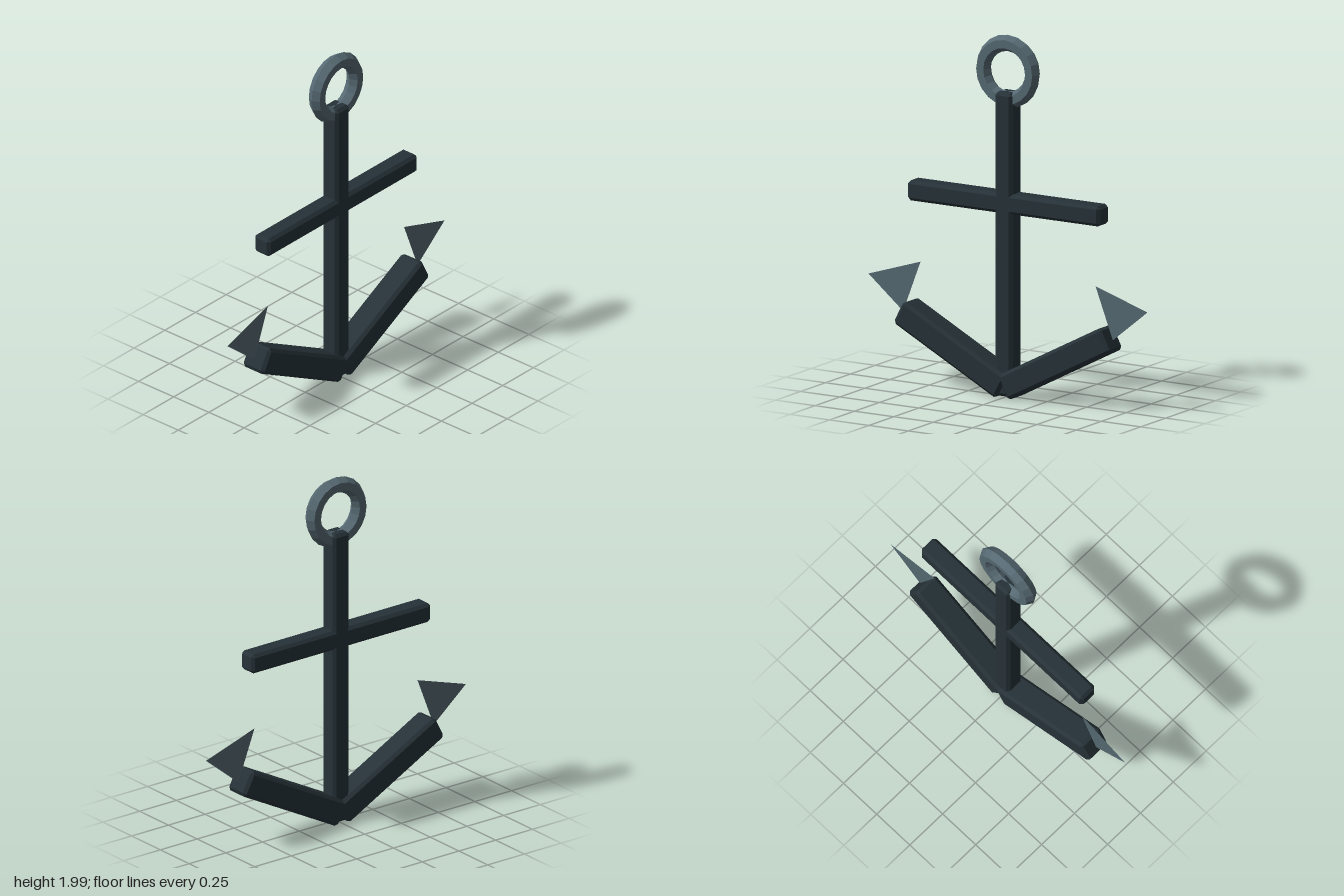
import * as THREE from 'three';
import { ConvexGeometry } from 'three/addons/geometries/ConvexGeometry.js';

const iron = new THREE.MeshStandardMaterial({ color: 0x263238, flatShading: true });
const steel = new THREE.MeshStandardMaterial({ color: 0x566972, flatShading: true, side: THREE.DoubleSide });

// Box with every edge cut by a chamfer c
function chamferBox(w, h, d, c = 0.017) {
  const points = [];
  for (const sx of [-1, 1]) for (const sy of [-1, 1]) for (const sz of [-1, 1]) {
    const x = w / 2, y = h / 2, z = d / 2;
    points.push(
      new THREE.Vector3(sx * x, sy * (y - c), sz * (z - c)),
      new THREE.Vector3(sx * (x - c), sy * y, sz * (z - c)),
      new THREE.Vector3(sx * (x - c), sy * (y - c), sz * z)
    );
  }
  return new ConvexGeometry(points);
}

export function createModel() {
  const anchor = new THREE.Group();
  anchor.name = 'anchor';

  function add(name, geometry, material, x, y, angle = 0) {
    const mesh = new THREE.Mesh(geometry, material);
    mesh.name = name;
    mesh.position.set(x, y, 0);
    mesh.rotation.z = angle;
    anchor.add(mesh);
  }

  // Upright bar, crossbar and the ring at the top
  add('shank', chamferBox(0.11, 1.67, 0.11), iron, 0, 0.855);
  add('stock', chamferBox(1.22, 0.11, 0.11), iron, 0, 1.08);
  add('ring', new THREE.TorusGeometry(0.155, 0.045, 6, 20), steel, 0, 1.8);

  // Sloping arms with a flat, thin fluke at each tip
  for (const [side, s] of [['left', 1], ['right', -1]]) {
    add(side + 'Arm', chamferBox(0.735, 0.145, 0.15), iron, s * 0.33, 0.24, s * 0.482);
    const outline = new THREE.Shape([
      new THREE.Vector2(s * 0.665, 0.4),
      new THREE.Vector2(s * 0.885, 0.58),
      new THREE.Vector2(s * 0.555, 0.685)
    ]);
    add(side + 'Fluke', new THREE.ShapeGeometry(outline), steel, 0, 0);
  }
  return anchor;
}
